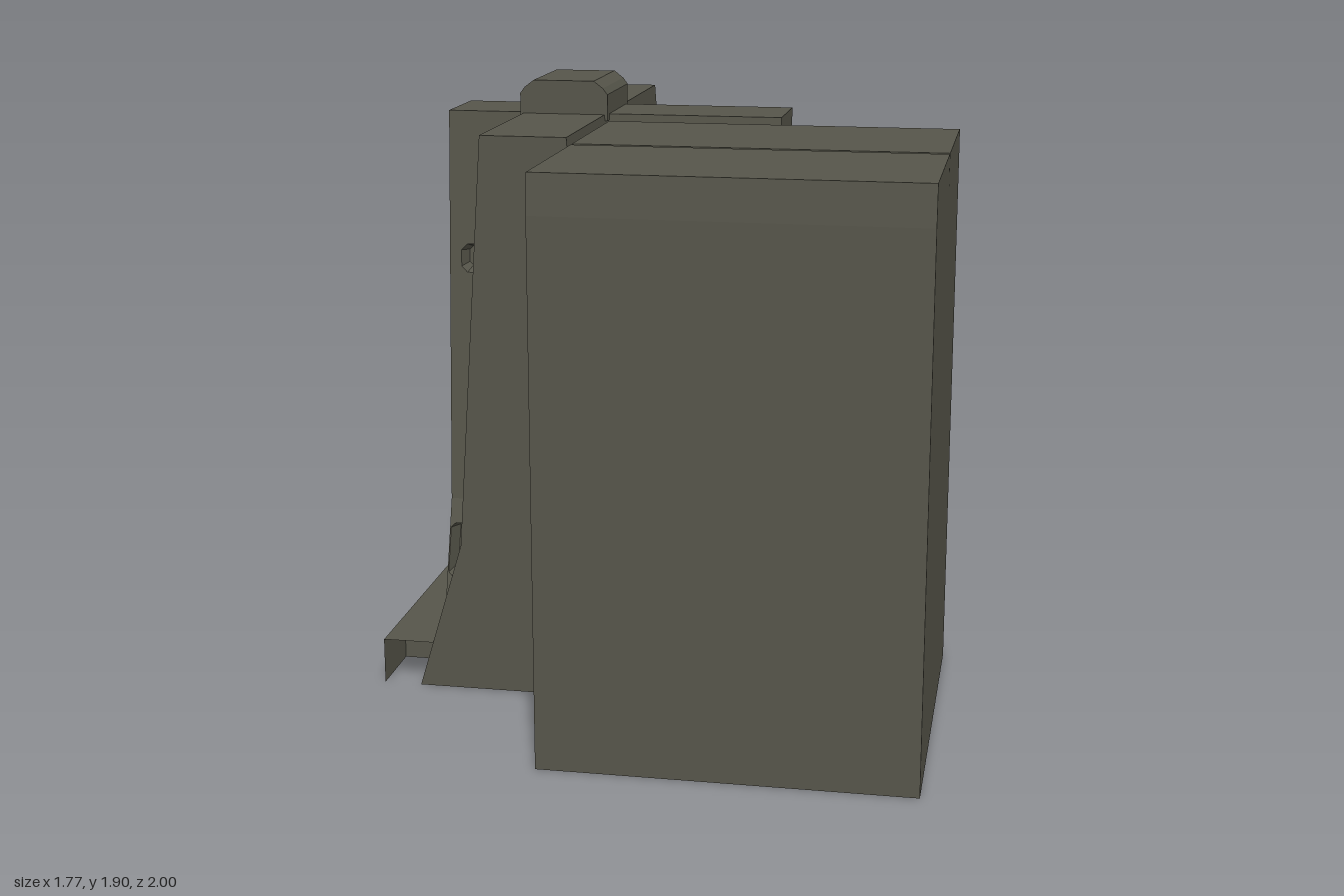
import * as THREE from 'three';
import { mergeGeometries } from 'three/addons/utils/BufferGeometryUtils.js';

const H = 1.79, KNEE = 0.48, CX = -0.395, CZ = -0.285;

// half thickness of a barrier wall at height y
const half = (y) => y < KNEE
  ? THREE.MathUtils.lerp(0.37, 0.225, y / KNEE)
  : THREE.MathUtils.lerp(0.225, 0.135, (y - KNEE) / (H - KNEE));

// rectangle with clipped corners, counter-clockwise
function outline(a, b, c, d, r) {
  return [[a + r, c], [b - r, c], [b, c + r], [b, d - r], [b - r, d], [a + r, d], [a, d - r], [a, c + r]]
    .map(([x, y]) => new THREE.Vector2(x, y));
}

// sloped panel with holes cut into it
function panel(u0, u1, y0, y1, holes) {
  const shape = new THREE.Shape([[u0, y0], [u1, y0], [u1, y1], [u0, y1]].map((p) => new THREE.Vector2(...p)));
  for (const h of holes) shape.holes.push(new THREE.Path(h.ring));
  const geo = new THREE.ShapeGeometry(shape);
  const pos = geo.attributes.position;
  for (let i = 0; i < pos.count; i++) pos.setZ(i, half(pos.getY(i)));
  return finish(geo);
}

function finish(geo) {
  const g = geo.index ? geo.toNonIndexed() : geo;
  g.deleteAttribute('uv');
  g.computeVertexNormals();
  return g;
}

// tapered pocket behind a hole
function pocket({ ring, inner, depth }) {
  const n = ring.length, pts = [], idx = [];
  for (const p of ring) pts.push(p.x, p.y, half(p.y));
  for (const p of inner) pts.push(p.x, p.y, half(p.y) - depth);
  for (let i = 0; i < n; i++) {
    const j = (i + 1) % n;
    idx.push(i, j, n + j, i, n + j, n + i);
    if (i > 0 && i < n - 1) idx.push(n, n + i, n + i + 1);
  }
  const geo = new THREE.BufferGeometry();
  geo.setAttribute('position', new THREE.Float32BufferAttribute(pts, 3));
  geo.setIndex(idx);
  return finish(geo);
}

// hole clipped to the wall length
function hole(u, w, y0, y1, r, depth, u0, u1) {
  const a = Math.max(u - w / 2, u0 + 0.004), b = Math.min(u + w / 2, u1 - 0.004), t = 0.015;
  if (b - a < 0.04) return null;
  return { ring: outline(a, b, y0, y1, r), inner: outline(a + t, b - t, y0 + t, y1 - t, r * 0.6), depth };
}

function sideGeometry(u0, u1) {
  const make = (...args) => [-1, 1].map((s) => hole(s * args[0], ...args.slice(1), u0, u1)).filter(Boolean);
  const slots = make(0.435, 0.22, 0.225, 0.4, 0.015, 0.07);
  const bolts = make(0.315, 0.08, 1.255, 1.35, 0.02, 0.05);
  return mergeGeometries([
    panel(u0, u1, 0, KNEE, slots), panel(u0, u1, KNEE, H, bolts), ...[...slots, ...bolts].map(pocket),
  ]);
}

// barrier wall running along x from u0 to u1
function wall(name, u0, u1, mat) {
  const g = new THREE.Group();
  g.name = name;
  const add = (part, geo) => {
    const m = new THREE.Mesh(geo, mat);
    m.name = part;
    g.add(m);
    return m;
  };
  add('wallFace', sideGeometry(u0, u1));
  add('wallFace', sideGeometry(-u1, -u0)).rotation.y = Math.PI;
  const top = add('wallTop', new THREE.PlaneGeometry(u1 - u0, 2 * half(H)));
  top.rotation.x = -Math.PI / 2;
  top.position.set((u0 + u1) / 2, H, 0);
  const ys = [0, KNEE, H];
  const profile = new THREE.Shape([
    ...ys.map((y) => new THREE.Vector2(half(y), y)),
    ...ys.slice().reverse().map((y) => new THREE.Vector2(-half(y), y)),
  ]);
  for (const [u, s] of [[u0, -1], [u1, 1]]) {
    const end = add('wallEnd', new THREE.ShapeGeometry(profile));
    end.rotation.y = s * Math.PI / 2;
    end.position.x = u;
  }
  return g;
}

function extrude(points, depth) {
  return new THREE.ExtrudeGeometry(new THREE.Shape(points.map((p) => new THREE.Vector2(...p))), { depth, bevelEnabled: false });
}

export function createModel() {
  const model = new THREE.Group();
  const concrete = new THREE.MeshStandardMaterial({ color: 0x56554a });
  concrete.name = 'olive grey concrete';
  concrete.side = THREE.DoubleSide;

  // crossing walls
  const cross = wall('crossWall', -0.395, 0.71, concrete);
  cross.position.set(CX, 0, CZ);
  const long = wall('longWall', -0.715, 0.715, concrete);
  long.rotation.y = Math.PI / 2;
  long.position.set(CX, 0, CZ);
  model.add(cross, long);

  const add = (name, geo, x = 0, y = 0, z = 0) => {
    const m = new THREE.Mesh(geo, concrete);
    m.name = name;
    m.position.set(x, y, z);
    model.add(m);
    return m;
  };

  // chamfered cap over the crossing
  add('cap', extrude([[-0.145, 1.77], [0.145, 1.77], [0.145, 1.855], [0.13, 1.875], [0.1, 1.898],
    [-0.1, 1.898], [-0.13, 1.875], [-0.145, 1.855]], 0.33), CX, 0, -0.45);

  // two large blocks, each with a slightly leaning upper front
  for (const [z0, z1] of [[-0.13, 0.43], [0.43, 1]]) {
    const L = z1 - z0;
    const block = add('block', extrude([[0, 0], [L, 0], [L, 1.65], [L - 0.012, 1.77], [0.008, 1.77], [0, 1.74]], 1.13), 0.885, 0, z0);
    block.rotation.y = -Math.PI / 2;
  }

  // hollow footing: top plates over a grid of ribs
  const plate = (x0, x1, z0, z1) => {
    const m = add('footingTop', new THREE.PlaneGeometry(x1 - x0, z1 - z0), (x0 + x1) / 2, 0.147, (z0 + z1) / 2);
    m.rotation.x = -Math.PI / 2;
  };
  plate(-0.885, 0.1, -1, 0.43);
  plate(0.1, 0.315, -0.78, 0.05);
  const ribX = (x, z0, z1) => {
    add('footingRib', new THREE.PlaneGeometry(z1 - z0, 0.147), x, 0.0735, (z0 + z1) / 2).rotation.y = Math.PI / 2;
  };
  for (const x of [-0.885, -0.64, -0.395, -0.15, 0.1]) ribX(x, -1, 0.43);
  ribX(0.313, -0.78, 0.05);
  for (const z of [-0.78, -0.535, -0.29, -0.04, 0.205]) {
    const x1 = z < 0 ? 0.313 : 0.1;
    add('footingRib', new THREE.PlaneGeometry(x1 + 0.885, 0.147), (x1 - 0.885) / 2, 0.0735, z);
  }
  return model;
}
